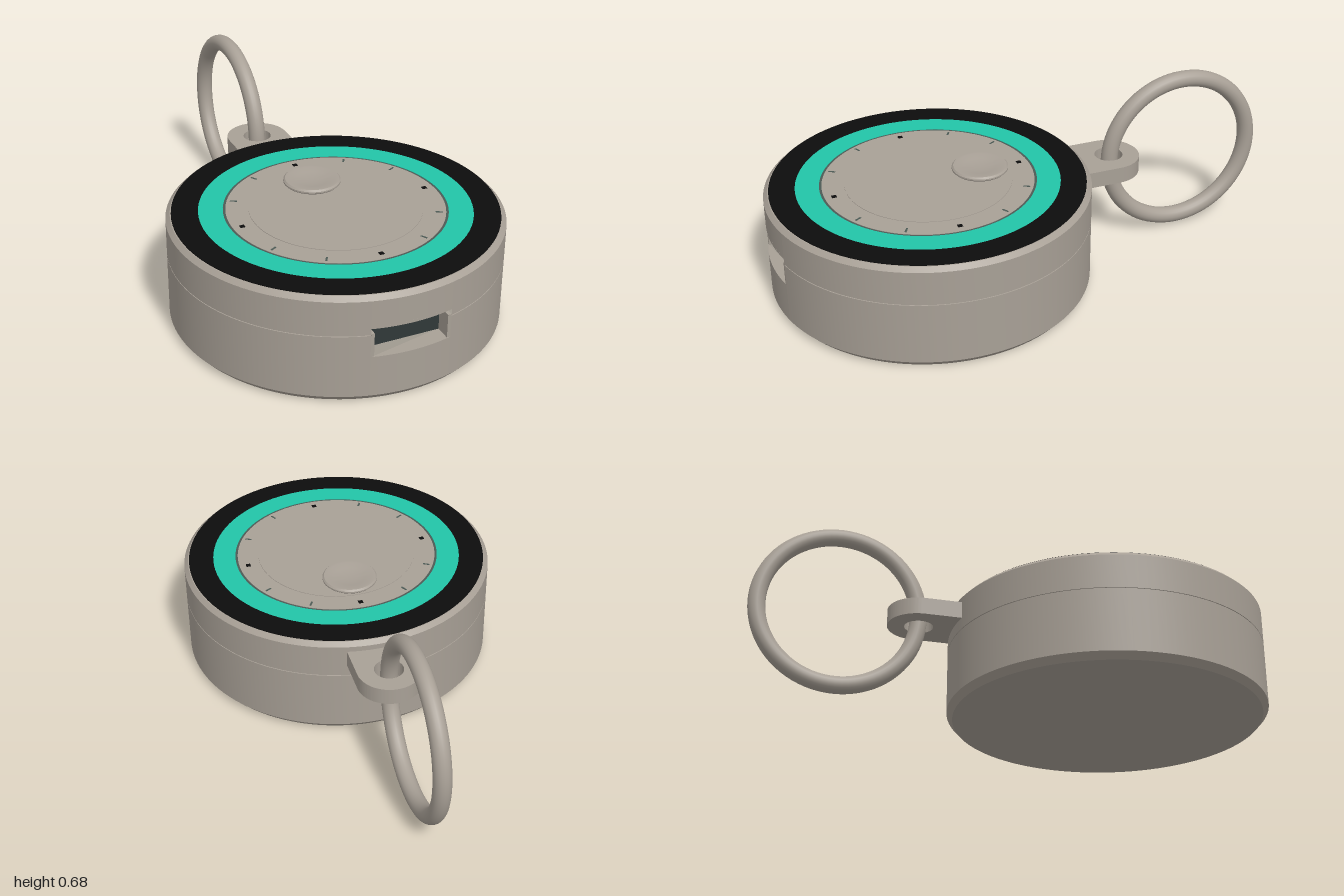
import * as THREE from 'three';
import { toCreasedNormals } from 'three/addons/utils/BufferGeometryUtils.js';

const material = (name, color) => new THREE.MeshStandardMaterial({ name, color });

export function createModel() {
  const shell = material('warm grey', 0xa8a096);
  const black = material('black', 0x0c0c0c);
  const teal = material('teal', 0x22c5a8);
  const dark = material('dark slate', 0x303838);
  const groove = material('groove grey', 0x4c5a55);

  const model = new THREE.Group();
  const body = new THREE.Group();
  body.name = 'body';
  body.position.z = 0.385;
  model.add(body);

  const add = (parent, name, geometry, mat, x = 0, y = 0, z = 0) => {
    const mesh = new THREE.Mesh(geometry, mat);
    mesh.name = name;
    mesh.position.set(x, y, z);
    parent.add(mesh);
    return mesh;
  };
  const lathe = (points, segments = 96, start = 0, length = Math.PI * 2) =>
    toCreasedNormals(new THREE.LatheGeometry(
      points.map(([x, y]) => new THREE.Vector2(x, y)), segments, start, length), 0.5);
  const washer = (name, inner, outer, y0, y1, mat) => add(body, name, lathe([
    [inner, y0], [outer, y0], [outer, y1], [inner, y1], [inner, y0]]), mat);
  // Flat plan shape (plan y = -z) raised to a slab
  const slab = (shape, depth) => new THREE.ExtrudeGeometry(shape,
    { depth, bevelEnabled: false, curveSegments: 32 }).rotateX(-Math.PI / 2);

  // Round case, with a gap at the front for the port
  const R = 0.612, slotX = 0.15, slotLow = 0.18, slotHigh = 0.29;
  const a = Math.asin(slotX / R);
  const base = [[0, 0], [R - 0.022, 0], [R, 0.025]];
  const crown = [[R, 0.397], [R - 0.016, 0.413], [0, 0.413]];
  const seam = [[R, 0.264], [R - 0.003, 0.2645], [R - 0.003, 0.2665], [R, 0.267]];
  add(body, 'case', lathe([...base, ...seam, ...crown], 112, a, Math.PI * 2 - 2 * a), shell);
  add(body, 'caseBelowPort', lathe([...base, [R, slotLow]], 12, -a, 2 * a), shell);
  add(body, 'caseAbovePort', lathe([[R, slotHigh], ...crown], 12, -a, 2 * a), shell);

  // Port pocket
  const back = 0.53, front = R * Math.cos(a);
  const plan = new THREE.Shape();
  plan.moveTo(-slotX, -back);
  plan.absarc(0, 0, R, -Math.PI / 2 - a, -Math.PI / 2 + a, false);
  plan.lineTo(slotX, -back);
  add(body, 'portFloor', slab(plan, 0.01), shell, 0, slotLow - 0.01);
  add(body, 'portRoof', slab(plan, 0.01), shell, 0, slotHigh);
  const slotMid = (slotLow + slotHigh) / 2, slotTall = slotHigh - slotLow;
  add(body, 'portBack', new THREE.BoxGeometry(0.3, slotTall, 0.01), dark, 0, slotMid, back);
  for (const s of [-1, 1]) {
    add(body, 'portSide', new THREE.BoxGeometry(0.013, slotTall - 0.02, front - back), shell,
      s * (slotX - 0.0065), slotMid - 0.01, (front + back) / 2);
  }
  add(body, 'portLip', new THREE.BoxGeometry(0.3, 0.004, 0.03), groove, 0, 0.271, back + 0.02);

  // Face rings and dial
  washer('blackRing', 0.495, 0.592, 0.411, 0.416, black);
  washer('tealRing', 0.406, 0.495, 0.411, 0.416, teal);
  washer('dialGroove', 0.397, 0.406, 0.411, 0.4145, groove);
  add(body, 'dial', lathe([[0.397, 0.411], [0.397, 0.416], [0, 0.416]]), shell);
  add(body, 'dialCentre', lathe([[0.314, 0.414], [0.314, 0.418], [0, 0.418]]), shell);

  // Dial marks: dots at the quarters, fine ticks between
  for (let i = 0; i < 12; i++) {
    const angle = i * Math.PI / 6, quarter = i % 3 === 0;
    const r = quarter ? 0.362 : 0.372;
    const size = quarter ? [0.018, 0.003, 0.018] : [0.007, 0.003, 0.026];
    const mark = add(body, quarter ? 'quarterMark' : 'tick', new THREE.BoxGeometry(...size),
      quarter ? black : groove, r * Math.sin(angle), 0.4155, r * Math.cos(angle));
    mark.rotation.y = angle;
  }

  // Dished button
  add(body, 'button', lathe([[0.09, 0.412], [0.09, 0.42], [0.102, 0.42], [0.107, 0.425],
    [0.107, 0.431], [0.101, 0.437], [0.088, 0.437], [0.06, 0.431], [0.03, 0.428], [0, 0.427]], 48),
  shell, 0, 0, -0.205);

  // Lug with its eyelet
  const lug = new THREE.Shape();
  lug.moveTo(-0.12, 0.2);
  lug.lineTo(0.12, 0.2);
  lug.absarc(0, 0.355, 0.12, 0, Math.PI, false);
  lug.closePath();
  const eyelet = new THREE.Path();
  eyelet.absarc(0, 0.355, 0.055, 0, Math.PI * 2, true);
  lug.holes.push(eyelet);
  add(model, 'lug', toCreasedNormals(slab(lug, 0.065), 0.5), shell, 0, 0.311);

  // Key ring
  const ring = add(model, 'keyRing', new THREE.TorusGeometry(0.304, 0.033, 20, 80), shell,
    0, 0.344, -0.662);
  ring.rotation.y = Math.PI / 2;

  return model;
}
